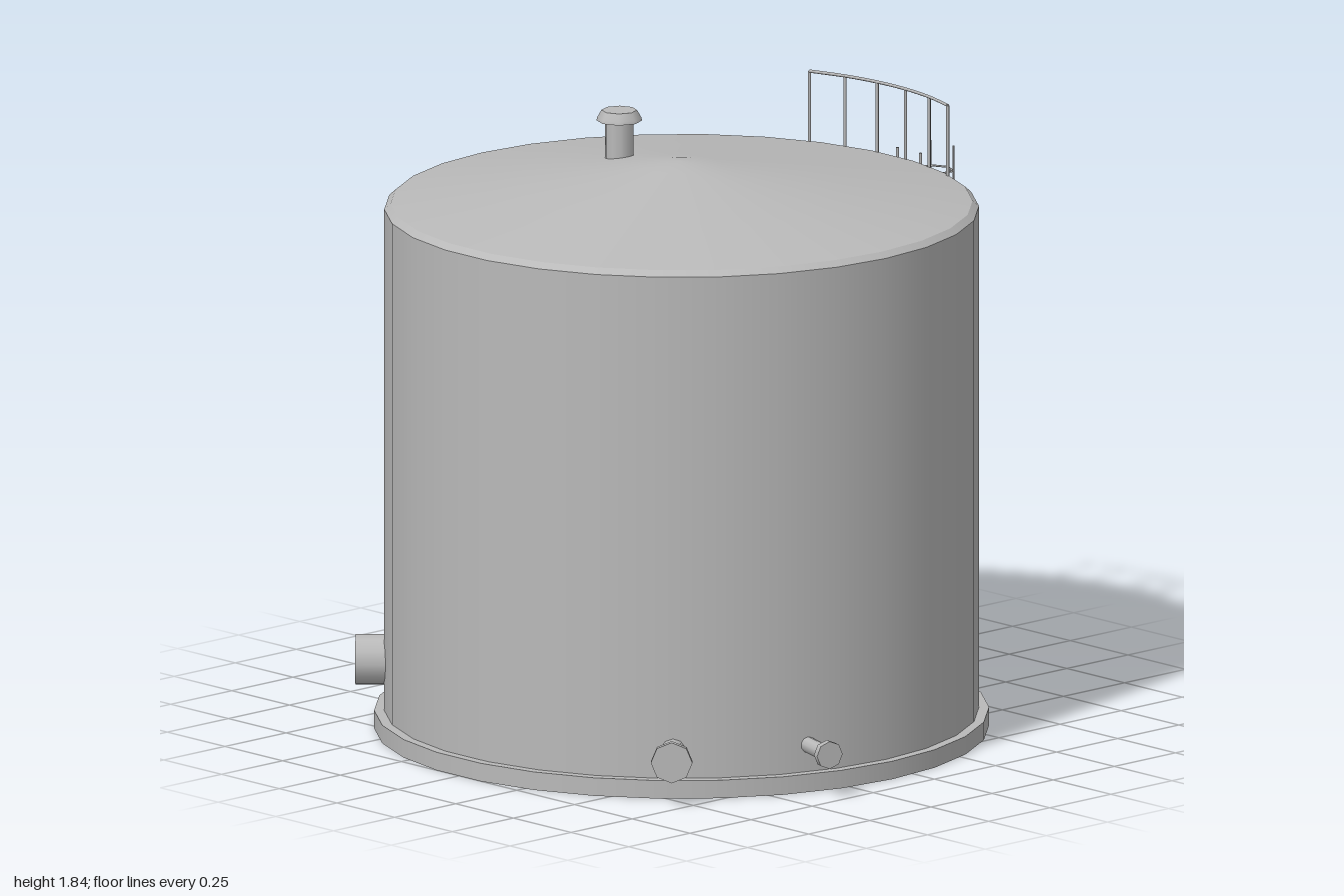
import * as THREE from 'three';

const CX = -0.09;   // tank axis
const SIDES = 30;

export function createModel() {
  const model = new THREE.Group();
  model.name = 'storageTank';
  const steel = new THREE.MeshStandardMaterial({ color: 0xb9b9b9, side: THREE.DoubleSide });
  steel.name = 'grey steel';

  const add = (name, geometry, parent = model) => {
    const mesh = new THREE.Mesh(geometry, steel);
    mesh.name = name;
    parent.add(mesh);
    return mesh;
  };
  const group = (name) => {
    const g = new THREE.Group();
    g.name = name;
    model.add(g);
    return g;
  };
  // Round bar between two points
  const bar = (name, a, b, radius, parent) => {
    const from = new THREE.Vector3(...a), to = new THREE.Vector3(...b);
    const dir = to.clone().sub(from);
    const mesh = add(name, new THREE.CylinderGeometry(radius, radius, dir.length(), 6), parent);
    mesh.position.copy(from).add(to).multiplyScalar(0.5);
    mesh.quaternion.setFromUnitVectors(new THREE.Vector3(0, 1, 0), dir.normalize());
    return mesh;
  };
  // Surface of revolution about the tank axis; separate sections keep edges sharp
  const revolve = (name, points, sides = SIDES, z = 0) => {
    const profile = points.map(([r, y]) => new THREE.Vector2(r, y));
    const mesh = add(name, new THREE.LatheGeometry(profile, sides));
    mesh.position.set(CX, 0, z);
    return mesh;
  };

  // Tank body, open underneath
  revolve('baseRingWall', [[0.915, 0], [0.915, 0.055]]);
  revolve('baseRingLedge', [[0.915, 0.055], [0.885, 0.055]]);
  revolve('shell', [[0.885, 0.055], [0.885, 1.588]]);
  revolve('roofCurb', [[0.885, 1.588], [0.866, 1.605]]);
  revolve('roof', [[0.866, 1.605], [0.5, 1.662], [0.12, 1.721], [0.05, 1.731], [0, 1.733]]);

  // Roof vent with a flared cap
  const ventZ = -0.27;
  revolve('ventPipe', [[0.043, 1.68], [0.043, 1.81]], 10, ventZ);
  revolve('ventCapUnderside', [[0.04, 1.803], [0.068, 1.808]], 8, ventZ);
  revolve('ventCapSide', [[0.068, 1.808], [0.066, 1.817], [0.053, 1.84]], 8, ventZ);
  revolve('ventCapTop', [[0.053, 1.84], [0, 1.84]], 8, ventZ);

  // Group whose local +z points straight out of the shell
  const radial = (name, angle, y) => {
    const g = group(name);
    g.position.set(CX, y, 0);
    g.rotation.y = THREE.MathUtils.degToRad(angle);
    return g;
  };
  const stub = (name, r, from, to, sides, parent) => {
    const geometry = new THREE.CylinderGeometry(r, r, to - from, sides);
    geometry.rotateX(Math.PI / 2);
    add(name, geometry, parent).position.z = (from + to) / 2;
  };

  // Flanged nozzles: name, angle, height, pipe radius, flange radius
  [
    ['outletNozzle', -45, 0.137, 0.038, 0.062],
    ['drainNozzle', -18, 0.137, 0.024, 0.042],
    ['inletNozzle', 162, 1.46, 0.024, 0.042],
  ].forEach(([name, angle, y, pipe, flange]) => {
    const g = radial(name, angle, y);
    stub('pipe', pipe, 0.865, 1.015, 10, g);
    stub('flange', flange, 1.008, 1.03, 8, g);
  });

  // Manway on the back
  stub('manwayNeck', 0.077, 0.855, 0.97, 12, radial('manway', 225, 0.2));

  // Small plate on the shell beside the ladder
  const plate = add('shellPlate', new THREE.BoxGeometry(0.1, 0.13, 0.009), radial('plateMount', 74, 0.505));
  plate.position.z = 0.884;

  // Ladder
  const ladder = group('ladder');
  const LX = 0.84, HALF = 0.05;
  for (const z of [-HALF, HALF]) bar('ladderRail', [LX, 0.058, z], [LX, 1.61, z], 0.005, ladder);
  for (let i = 0; i < 22; i++) {
    const y = 0.122 + i * 0.0675;
    bar('rung', [LX, y, -HALF], [LX, y, HALF], 0.003, ladder);
  }

  // Safety cage: hoops and upright bars
  const cage = group('safetyCage');
  const hoop = [[LX, -HALF], [0.975, -HALF], [0.997, 0], [0.975, HALF], [LX, HALF]];
  for (let i = 0; i < 4; i++) {
    const y = 0.543 + i * 0.33;
    for (let k = 0; k < 4; k++) {
      bar('hoopSide', [hoop[k][0], y, hoop[k][1]], [hoop[k + 1][0], y, hoop[k + 1][1]], 0.003, cage);
    }
  }
  for (const [x, z] of hoop.slice(1, 4)) bar('cageBar', [x, 0.54, z], [x, 1.61, z], 0.003, cage);

  // Curved guard rail at the roof edge
  const guard = group('guardRail');
  const arc = [];
  for (let i = 0; i < 6; i++) {
    const a = THREE.MathUtils.degToRad(-20.4 + i * 8.16);
    const x = CX + 0.86 * Math.cos(a), z = 0.86 * Math.sin(a);
    bar('guardPost', [x, 1.6, z], [x, 1.82, z], 0.005, guard);
    arc.push(new THREE.Vector3(x, 1.82, z));
  }
  add('guardTopRail', new THREE.TubeGeometry(new THREE.CatmullRomCurve3(arc), 20, 0.005, 6), guard);

  return model;
}
